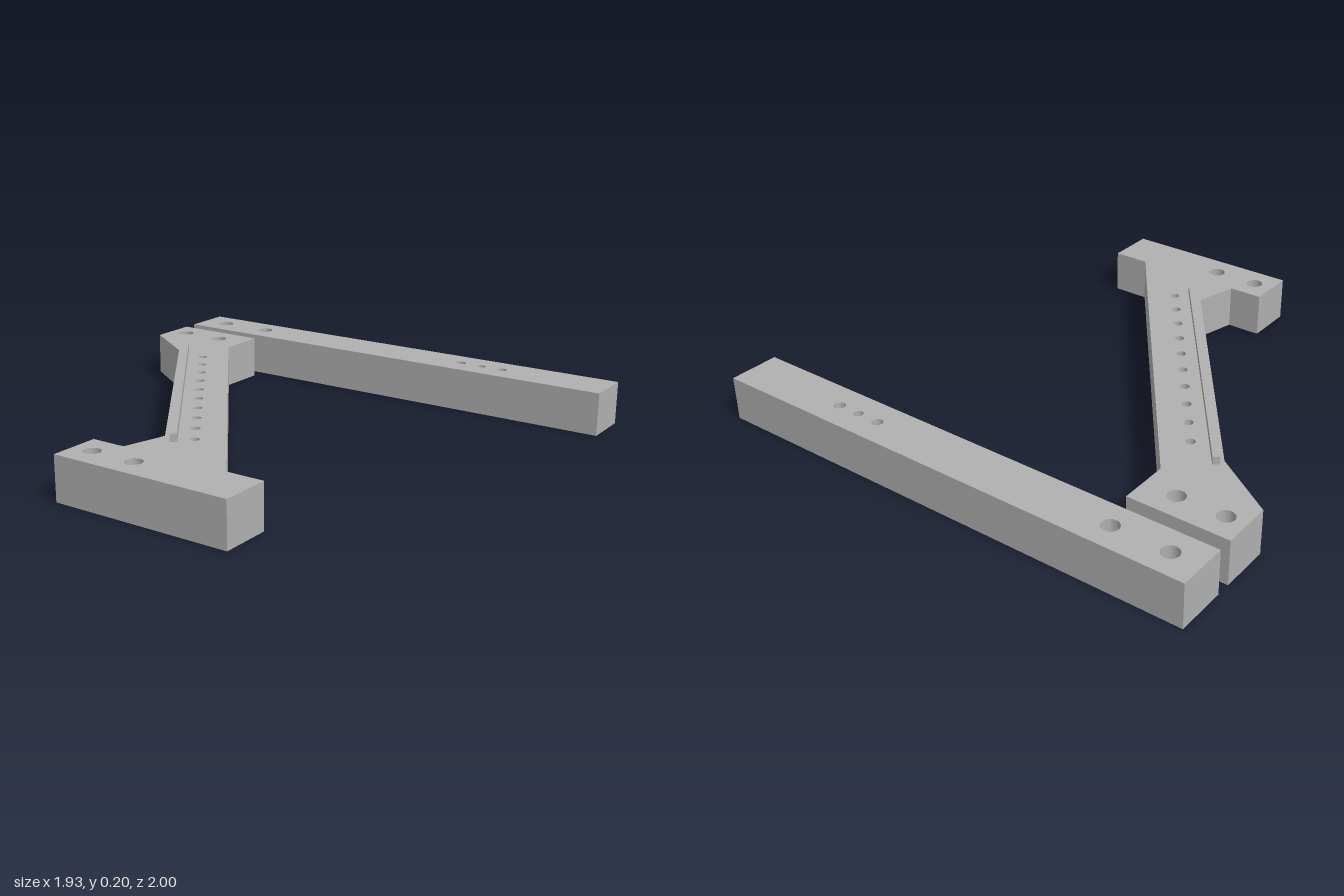
import * as THREE from 'three';
import { mergeGeometries, toCreasedNormals } from 'three/addons/utils/BufferGeometryUtils.js';

const H = 0.173;            // slab thickness
const SEG = 24;             // sides of each drilled hole
const BORE = 0.021, HEAD = 0.033, PIN = 0.018;

// Hole types: wall profile [radius, y] from top to bottom
const through = (r) => [[r, H], [r, 0]];
const topBored = [[HEAD, H], [HEAD, 0.11], [BORE, 0.11], [BORE, 0]];
const bottomBored = [[BORE, H], [BORE, 0.063], [HEAD, 0.063], [HEAD, 0]];
const blindTop = [[PIN, H], [PIN, 0.08], [0, 0.08]];
const blindBottom = [[0, 0.09], [PIN, 0.09], [PIN, 0]];

// Top or bottom face of a slab, with its openings cut out
function face(outline, holes, top) {
  const s = top ? -1 : 1;
  const y = top ? H : 0;
  const shape = new THREE.Shape(outline.map(([x, z]) => new THREE.Vector2(x, s * z)));
  for (const { x, z, profile } of holes) {
    const end = top ? profile[0] : profile[profile.length - 1];
    if (end[0] === 0 || end[1] !== y) continue;
    shape.holes.push(new THREE.Path().absarc(x, s * z, end[0], 0, Math.PI * 2, true));
  }
  return new THREE.ShapeGeometry(shape, SEG / 2).rotateX(s * Math.PI / 2).translate(0, y, 0);
}

// Outer side walls, one quad per outline edge
function walls(outline) {
  const pos = [];
  outline.forEach(([ax, az], i) => {
    const [bx, bz] = outline[(i + 1) % outline.length];
    pos.push(ax, 0, az, ax, H, az, bx, H, bz, ax, 0, az, bx, H, bz, bx, 0, bz);
  });
  const g = new THREE.BufferGeometry();
  g.setAttribute('position', new THREE.Float32BufferAttribute(pos, 3));
  g.computeVertexNormals();
  return g;
}

// Inner surface of one hole
function holeWall({ x, z, profile }) {
  const pts = profile.map(([r, y]) => new THREE.Vector2(r, y));
  return toCreasedNormals(new THREE.LatheGeometry(pts, SEG).translate(x, 0, z), 0.6);
}

function drilledSlab(name, outline, holes, material) {
  const parts = [face(outline, holes, true), face(outline, holes, false), walls(outline), ...holes.map(holeWall)]
    .map((g) => {
      const flat = g.index ? g.toNonIndexed() : g;
      flat.deleteAttribute('uv');
      return flat;
    });
  const mesh = new THREE.Mesh(mergeGeometries(parts), material);
  mesh.name = name;
  return mesh;
}

export function createModel() {
  const group = new THREE.Group();
  group.name = 'bracketAndBar';
  const grey = new THREE.MeshStandardMaterial({ color: 0xb0b0b0 });
  grey.name = 'plain grey';

  // Straight mounting bar
  const bx = 0.864;
  const barOutline = [[0.765, -1], [0.963, -1], [0.963, 1], [0.765, 1]];
  const barHoles = [
    [-0.884, topBored], [-0.772, blindBottom], [-0.659, topBored],
    [0.352, bottomBored], [0.446, blindTop], [0.539, bottomBored],
  ].map(([z, profile]) => ({ x: bx, z, profile }));
  group.add(drilledSlab('mountingBar', barOutline, barHoles, grey));

  // Diagonal arm with a mounting foot at each end
  const armOutline = [
    [-0.968, -0.225], [-0.772, -0.225], [-0.772, -0.088], [-0.603, -0.045],
    [0.349, -0.754], [0.513, -1], [0.709, -1], [0.709, -0.608],
    [0.513, -0.608], [-0.772, 0.352], [-0.772, 0.5], [-0.968, 0.5],
  ];
  const armHoles = [];
  for (const [x, z] of [[-0.87, -0.05], [0.611, -0.83]]) {
    armHoles.push({ x, z: z - 0.093, profile: topBored });
    armHoles.push({ x, z, profile: blindBottom });
    armHoles.push({ x, z: z + 0.093, profile: topBored });
  }
  // Row of ten small holes along the arm
  for (let i = 0; i < 10; i++) {
    const t = i / 9;
    armHoles.push({ x: -0.574 + 0.891 * t, z: 0.063 - 0.661 * t, profile: through(PIN) });
  }
  group.add(drilledSlab('diagonalArm', armOutline, armHoles, grey));

  // Thin raised rib beside the hole row
  const rib = new THREE.Mesh(new THREE.BoxGeometry(1.279, 0.032, 0.026), grey);
  rib.name = 'raisedRib';
  rib.position.set(-0.128, H + 0.0145, -0.36);
  rib.rotation.y = Math.atan2(0.766, 1.024);
  group.add(rib);

  return group;
}
